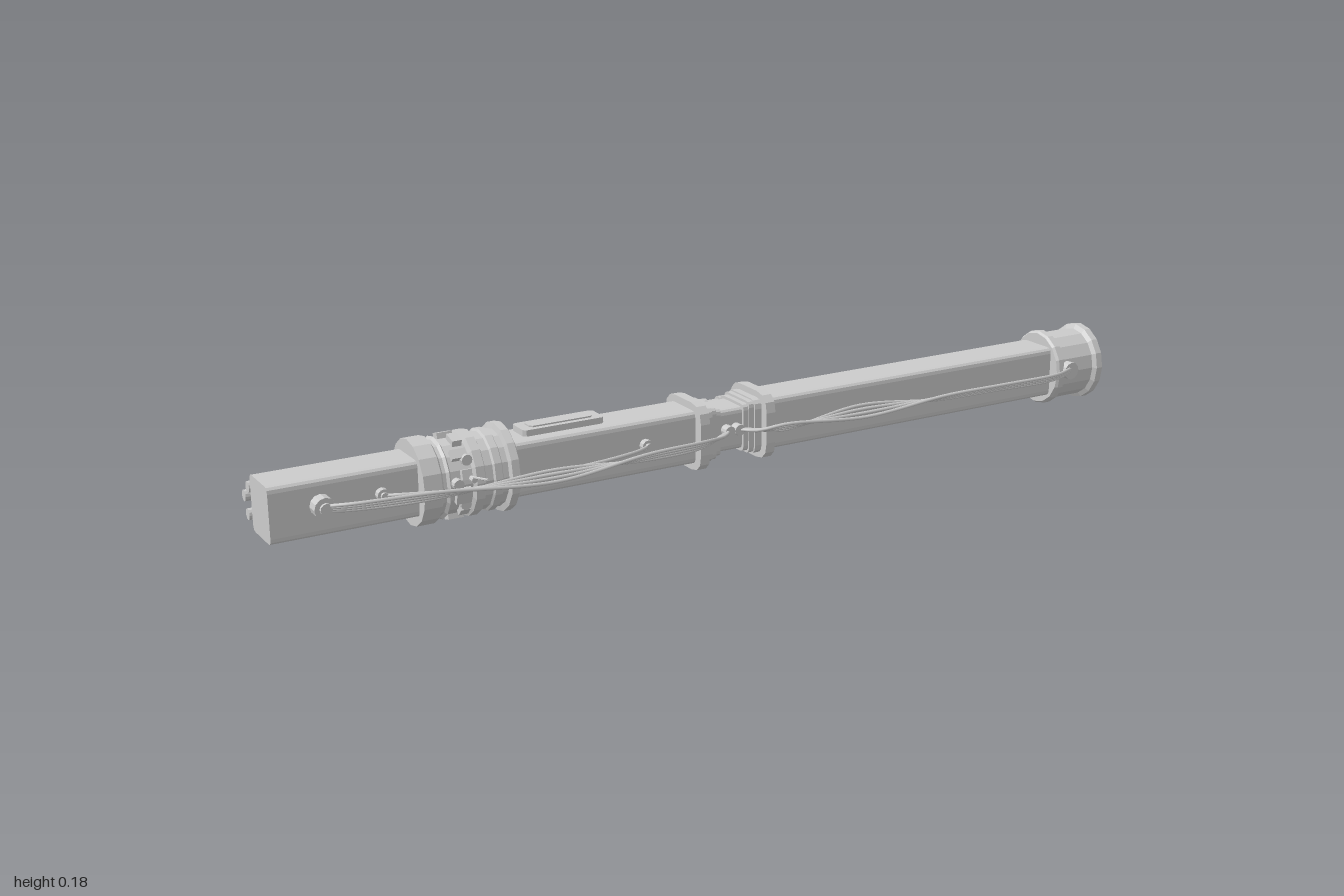
import * as THREE from 'three';

const CY = 0.092, CZ = -0.019; // beam axis
const flat = new THREE.MeshStandardMaterial({ color: 0xcccccc, flatShading: true });
const smooth = new THREE.MeshStandardMaterial({ color: 0xcccccc });

export function createModel() {
  const root = new THREE.Group();

  const add = (name, geometry, x, y, z, material = flat) => {
    const mesh = new THREE.Mesh(geometry, material);
    mesh.name = name;
    mesh.position.set(x, y, z);
    root.add(mesh);
    return mesh;
  };

  // Rounded rectangular bar running along x, between x0 and x1
  const bar = (name, x0, x1, h, d, r) => {
    const a = d / 2, b = h / 2;
    const s = new THREE.Shape();
    s.moveTo(-a + r, -b);
    s.lineTo(a - r, -b);
    s.quadraticCurveTo(a, -b, a, -b + r);
    s.lineTo(a, b - r);
    s.quadraticCurveTo(a, b, a - r, b);
    s.lineTo(-a + r, b);
    s.quadraticCurveTo(-a, b, -a, b - r);
    s.lineTo(-a, -b + r);
    s.quadraticCurveTo(-a, -b, -a + r, -b);
    const g = new THREE.ExtrudeGeometry(s, { depth: x1 - x0, bevelEnabled: false, curveSegments: 3 });
    g.rotateY(Math.PI / 2);
    return add(name, g, x0, CY, CZ);
  };

  // Faceted collar turned around the beam axis, profile as [x, radius]
  const collar = (name, profile) => {
    const pts = profile.map(([x, r]) => new THREE.Vector2(r, x));
    const g = new THREE.LatheGeometry(pts, 16);
    g.rotateZ(-Math.PI / 2);
    g.scale(1, 1, 0.925);
    return add(name, g, 0, CY, CZ);
  };

  // Short cylinder along x or z
  const rod = (name, axis, r, length, x, y, z, sides = 12) => {
    const g = new THREE.CylinderGeometry(r, r, length, sides);
    if (axis === 'x') g.rotateZ(Math.PI / 2);
    else g.rotateX(Math.PI / 2);
    return add(name, g, x, y, z);
  };

  // Two beam halves joined by a slimmer ribbed neck
  bar('leftBeam', -1, -0.04, 0.114, 0.1, 0.013);
  bar('rightBeam', 0.04, 0.985, 0.114, 0.1, 0.013);
  bar('neck', -0.04, 0.04, 0.092, 0.082, 0.012);
  for (const s of [-1, 1]) {
    const x = s * 0.034;
    bar('neckRib', x - 0.006, x + 0.006, 0.104, 0.094, 0.013);
    bar('jointFlange', s * 0.08 - 0.011, s * 0.08 + 0.011, 0.146, 0.146, 0.04);
    bar('jointLip', s * 0.06 - 0.008, s * 0.06 + 0.008, 0.12, 0.11, 0.02);
  }

  // End cap with a raised square panel
  collar('endCap', [
    [0.86, 0], [0.86, 0.082], [0.866, 0.086], [0.88, 0.086], [0.884, 0.078],
    [0.97, 0.078], [0.976, 0.088], [0.992, 0.088], [0.996, 0.082], [0.996, 0]
  ]);
  bar('endPanel', 0.985, 1, 0.111, 0.097, 0.009);

  // Banded collar
  collar('bandedCollar', [
    [-0.705, 0], [-0.705, 0.088], [-0.668, 0.088], [-0.662, 0.078], [-0.655, 0.078],
    [-0.65, 0.084], [-0.645, 0.076], [-0.6, 0.076], [-0.596, 0.087], [-0.578, 0.087],
    [-0.574, 0.079], [-0.558, 0.079], [-0.555, 0.084], [-0.54, 0.084], [-0.537, 0.079],
    [-0.525, 0.079], [-0.522, 0.091], [-0.506, 0.091], [-0.502, 0.084], [-0.502, 0]
  ]);

  // Small blocks set around the collar's recessed band
  for (let i = 0; i < 12; i++) {
    const a = (i * Math.PI) / 6 + 0.26;
    const g = new THREE.BoxGeometry(i % 2 ? 0.032 : 0.02, 0.014, i % 3 ? 0.02 : 0.03);
    const block = add('collarBlock', g, i % 2 ? -0.622 : -0.615,
      CY + 0.079 * Math.cos(a), CZ + 0.073 * Math.sin(a));
    block.rotation.x = a;
  }
  for (const [x, y, z] of [[-0.635, 0.098, 0.052], [-0.61, 0.14, 0.036], [-0.615, 0.05, 0.036]]) {
    rod('collarStud', 'z', 0.011, 0.026, x, y, z);
  }

  // Antenna pointing forward from the collar
  const antenna = rod('antenna', 'z', 0.0025, 0.1, -0.607, 0.115, 0.089, 6);
  antenna.rotation.x = -0.22;
  rod('antennaBase', 'z', 0.006, 0.03, -0.607, 0.106, 0.06, 8);

  // Access hatch on top
  const hatch = (name, w, d, h, y) => {
    const s = new THREE.Shape();
    const a = w / 2, b = d / 2, c = 0.006;
    [[-a + c, -b], [a - c, -b], [a, -b + c], [a, b - c], [a - c, b], [-a + c, b], [-a, b - c], [-a, -b + c]]
      .forEach(([x, z], i) => (i ? s.lineTo(x, z) : s.moveTo(x, z)));
    const g = new THREE.ExtrudeGeometry(s, { depth: h, bevelEnabled: false });
    g.rotateX(-Math.PI / 2);
    add(name, g, -0.376, y, -0.027);
  };
  hatch('hatchFrame', 0.18, 0.056, 0.016, 0.146);
  hatch('hatchLid', 0.14, 0.032, 0.003, 0.162);

  // Three back pipes with clamps
  const pipes = [[0.113, -0.096], [0.088, -0.122], [0.055, -0.106]];
  for (const [y, z] of pipes) {
    rod('pipe', 'x', 0.0115, 1.995, 0, y, z);
    for (const [x, w] of [[-0.055, 0.03], [0, 0.018], [0.055, 0.03], [0.885, 0.045], [0.972, 0.03]]) {
      rod('pipeClamp', 'x', 0.0165, w, x, y, z);
    }
  }
  // Brackets holding the pipes to the beam
  for (const x of [-0.055, 0.055, 0.885]) {
    add('pipeBracket', new THREE.BoxGeometry(0.018, 0.06, 0.05), x, 0.085, -0.092);
  }

  // Cable sockets on the front
  const sockets = [[-0.9, 0.022, 0.03], [-0.78, 0.013, 0.017], [-0.21, 0.013, 0.017]];
  for (const [x, r, l] of sockets) {
    rod('cableSocket', 'z', r, l, x, 0.098, 0.028 + l / 2);
    rod('socketPlug', 'z', r * 0.55, 0.008, x, 0.098, 0.03 + l);
  }
  rod('cableSocket', 'z', 0.02, 0.022, 0.895, 0.098, 0.056);
  for (const s of [-1, 1]) rod('neckSocket', 'z', 0.012, 0.022, s * 0.012, 0.095, 0.031);

  // Loose cables
  const cable = (points) => {
    const curve = new THREE.CatmullRomCurve3(points.map((p) => new THREE.Vector3(...p)));
    add('cable', new THREE.TubeGeometry(curve, 48, 0.0038, 6), 0, 0, 0, smooth);
  };
  for (let i = 0; i < 4; i++) {
    const dy = (i - 1.5) * 0.006, dz = (i - 1.5) * 0.006;
    cable([
      [-0.9, 0.098 + dy * 0.5, 0.055], [-0.85, 0.1 + dy, 0.078 + dz],
      [-0.7, 0.1 + dy, 0.1 + dz], [-0.45, 0.097 - dy, 0.107 + dz],
      [-0.25, 0.1 + dy, 0.108 + dz], [-0.1, 0.095 + dy, 0.085 + dz],
      [-0.035, 0.094, 0.053 + dz * 0.5], [-0.012, 0.095, 0.036]
    ]);
    cable([
      [0.012, 0.095, 0.036], [0.04, 0.095, 0.057 + dz * 0.5],
      [0.1, 0.097 + dy, 0.076 + dz], [0.3, 0.1 - dy, 0.077 + dz * 1.6],
      [0.5, 0.102 + dy, 0.09 + dz * 1.8], [0.65, 0.104 + dy, 0.1 + dz * 1.3],
      [0.82, 0.1 + dy, 0.092 + dz], [0.9, 0.098 + dy * 0.5, 0.06]
    ]);
  }
  cable([[-0.78, 0.098, 0.044], [-0.75, 0.1, 0.062], [-0.62, 0.097, 0.092],
    [-0.45, 0.1, 0.096], [-0.32, 0.102, 0.088], [-0.24, 0.1, 0.064], [-0.21, 0.098, 0.044]]);

  return root;
}
